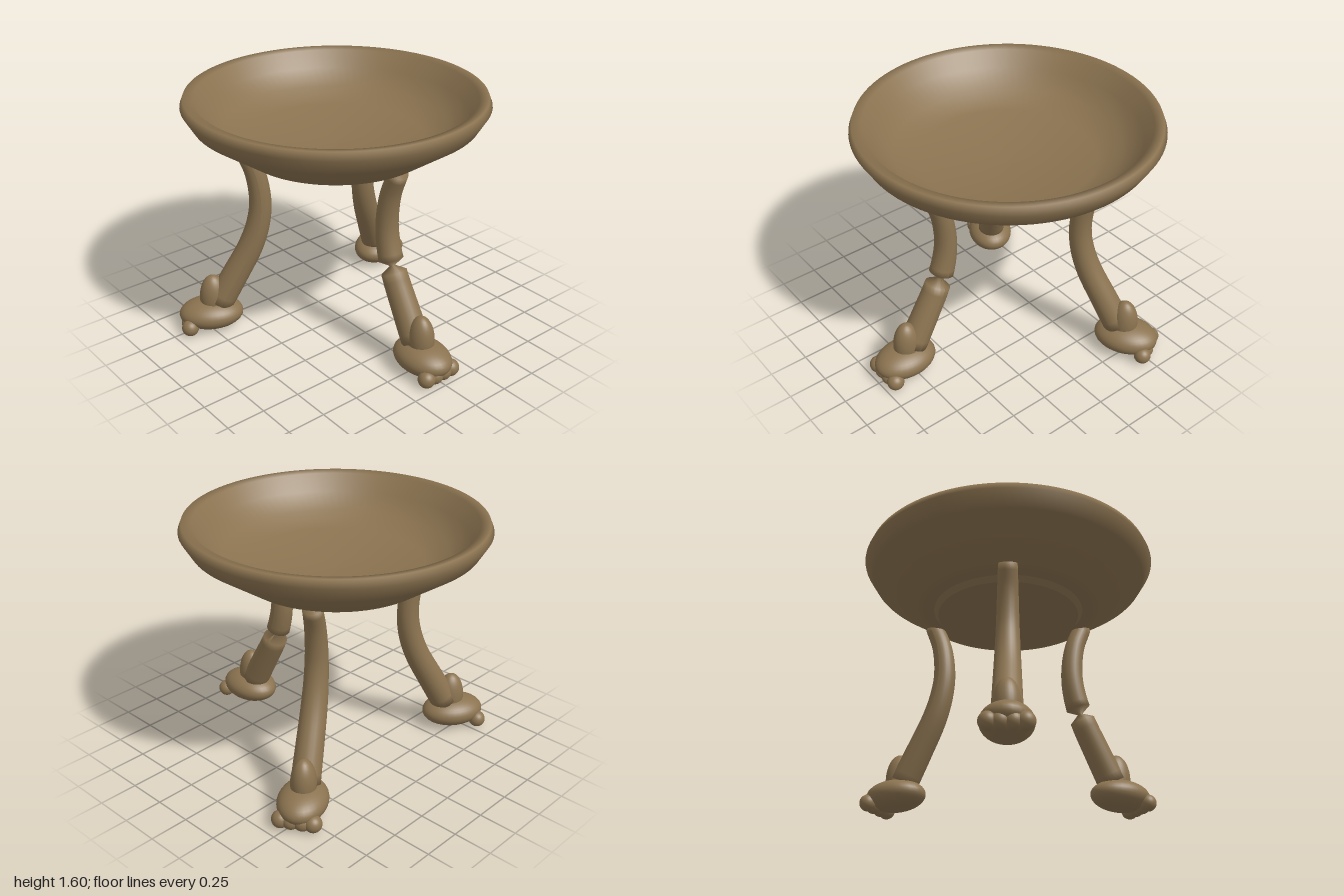
import * as THREE from 'three';

const bronze = new THREE.MeshStandardMaterial({ color: 0x8b7350 });
bronze.name = 'bronze';

const BOWL_Z = -0.05;

function part(name, geometry, parent) {
  const mesh = new THREE.Mesh(geometry, bronze);
  mesh.name = name;
  parent.add(mesh);
  return mesh;
}

function ellipsoid(name, parent, [x, y, z], [rx, ry, rz]) {
  const mesh = part(name, new THREE.SphereGeometry(1, 32, 20), parent);
  mesh.position.set(x, y, z);
  mesh.scale.set(rx, ry, rz);
  return mesh;
}

// Curved leg swept from top to bottom, thickening downwards; pinched = narrow knee
function legGeometry(pinched) {
  const path = new THREE.CatmullRomCurve3([
    [0.58, 1.26], [0.515, 1.1], [0.488, 0.9], [0.508, 0.74],
    [0.562, 0.583], [0.665, 0.39], [0.777, 0.19],
  ].map(([r, y]) => new THREE.Vector3(0, y, r)));
  const rings = 24, sides = 24, row = sides + 1;
  const side = new THREE.Vector3(1, 0, 0);
  const pos = [], index = [];
  const addRing = (t, radius) => {
    const p = path.getPoint(t);
    const n = path.getTangent(t).cross(side);
    for (let j = 0; j <= sides; j++) {
      const a = (j / sides) * Math.PI * 2;
      const v = p.clone()
        .addScaledVector(side, radius * Math.cos(a))
        .addScaledVector(n, radius * Math.sin(a));
      pos.push(v.x, v.y, v.z);
    }
  };
  addRing(0, 0.001);
  for (let i = 0; i <= rings; i++) {
    const t = i / rings;
    addRing(t, pinched && i === 15 ? 0.016 : 0.06 + 0.032 * t);
  }
  addRing(1, 0.001);
  for (let i = 0; i < rings + 2; i++) {
    for (let j = 0; j < sides; j++) {
      const a = i * row + j, c = a + row;
      index.push(a, a + 1, c, a + 1, c + 1, c);
    }
  }
  const g = new THREE.BufferGeometry();
  g.setAttribute('position', new THREE.Float32BufferAttribute(pos, 3));
  g.setIndex(index);
  g.computeVertexNormals();
  return g;
}

// One leg with its paw, pointing along +z
function makeLeg(name, pinched) {
  const leg = new THREE.Group();
  leg.name = name;
  part('shank', legGeometry(pinched), leg);
  ellipsoid('ankle', leg, [0, 0.22, 0.82], [0.08, 0.165, 0.09]);
  ellipsoid('paw', leg, [0, 0.11, 0.84], [0.155, 0.1, 0.21]);
  for (const x of [-0.1, -0.035, 0.035, 0.1]) {
    ellipsoid('toe', leg, [x, 0.06, 0.985], [0.055, 0.055, 0.055]);
  }
  return leg;
}

export function createModel() {
  const model = new THREE.Group();
  model.name = 'tripodBowl';

  // Bowl: outside, rim, then inside
  const profile = [
    [0, 1.23], [0.53, 1.235], [0.6, 1.25], [0.89, 1.45], [0.95, 1.55], [0.93, 1.6],
    [0.87, 1.59], [0.82, 1.48], [0.7, 1.385], [0.55, 1.315], [0.2, 1.27], [0, 1.265],
  ].map(([x, y]) => new THREE.Vector2(x, y));
  part('bowl', new THREE.LatheGeometry(profile, 96), model).position.z = BOWL_Z;

  // Tapered base disc
  const base = part('bowlBase', new THREE.CylinderGeometry(0.5, 0.457, 0.05, 96), model);
  base.position.set(0, 1.225, BOWL_Z);

  // Three legs spaced evenly
  ['frontLeg', 'backLeftLeg', 'backRightLeg'].forEach((name, i) => {
    const leg = makeLeg(name, i === 0);
    leg.position.z = BOWL_Z;
    leg.rotation.y = (i * Math.PI * 2) / 3;
    model.add(leg);
  });

  return model;
}
